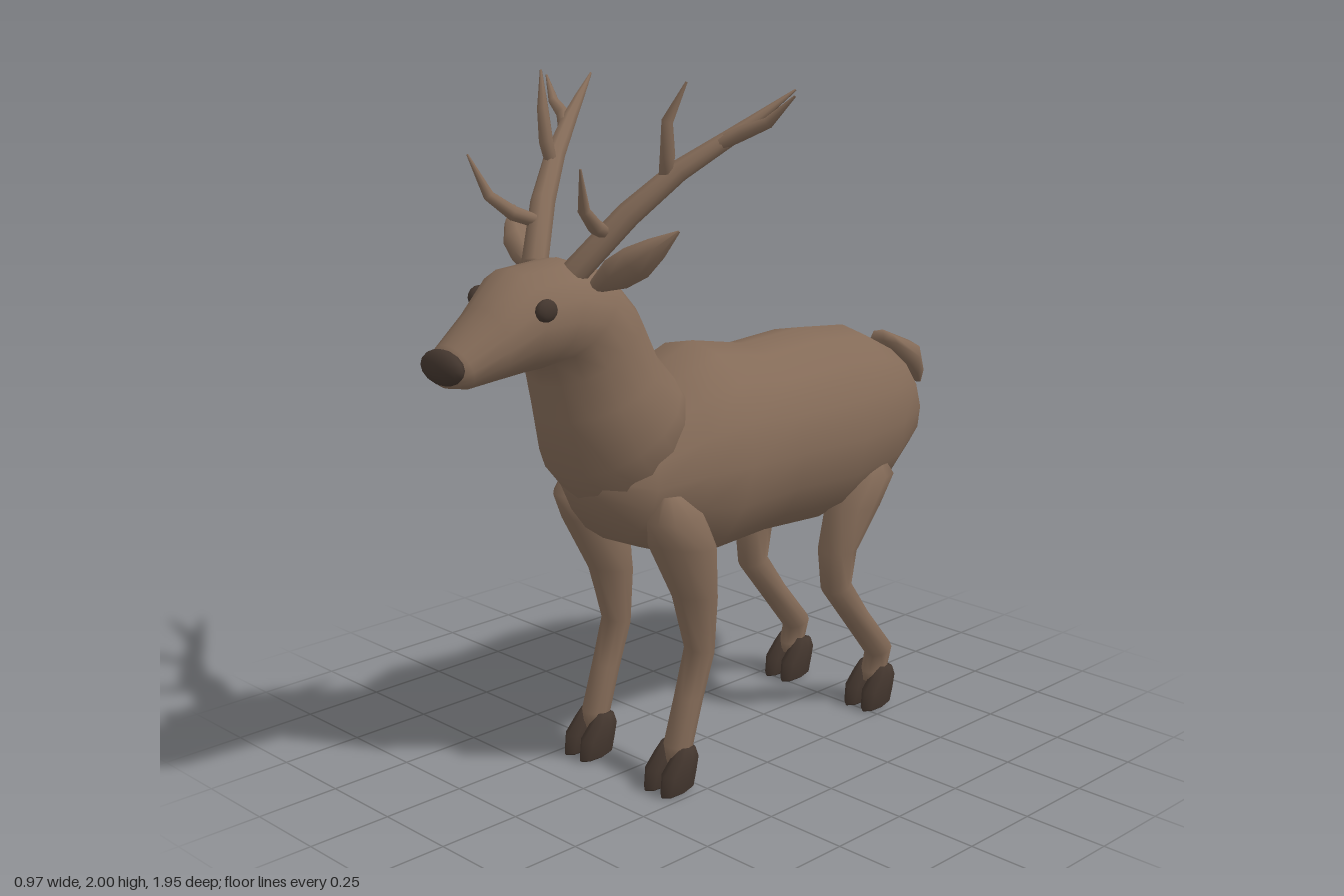
import * as THREE from 'three';

const coat = new THREE.MeshStandardMaterial({ color: 0x846b58 });
coat.name = 'brown coat';
const dark = new THREE.MeshStandardMaterial({ color: 0x43362e });
dark.name = 'dark horn';

// Closed skin over rings; each ring is { c: centre, u: half width, v: half height }
function skin(name, rings, material, sides = 12) {
  const pos = [], idx = [];
  for (const { c, u, v } of rings) {
    for (let i = 0; i < sides; i++) {
      const a = (i / sides) * Math.PI * 2;
      const p = c.clone().addScaledVector(u, Math.cos(a)).addScaledVector(v, Math.sin(a));
      pos.push(p.x, p.y, p.z);
    }
  }
  const last = rings.length - 1;
  for (let r = 0; r < last; r++) {
    for (let i = 0; i < sides; i++) {
      const a = r * sides + i, b = r * sides + (i + 1) % sides;
      idx.push(a, b, a + sides, b, b + sides, a + sides);
    }
  }
  const first = rings[0].c, end = rings[last].c, n = pos.length / 3;
  pos.push(first.x, first.y, first.z, end.x, end.y, end.z);
  for (let i = 0; i < sides; i++) {
    const j = (i + 1) % sides;
    idx.push(n, j, i, n + 1, last * sides + i, last * sides + j);
  }
  // Turn the faces outwards when the enclosed volume is negative
  const at = (i) => new THREE.Vector3().fromArray(pos, i * 3);
  let volume = 0;
  for (let i = 0; i < idx.length; i += 3) {
    volume += at(idx[i]).dot(at(idx[i + 1]).cross(at(idx[i + 2])));
  }
  if (volume < 0) idx.reverse();
  const geo = new THREE.BufferGeometry();
  geo.setAttribute('position', new THREE.Float32BufferAttribute(pos, 3));
  geo.setIndex(idx);
  geo.computeVertexNormals();
  const mesh = new THREE.Mesh(geo, material);
  mesh.name = name;
  return mesh;
}

// Section rows: [z, y of one edge, z, y of the opposite edge, half width, centre x]
function profile(name, rows, material, sides, x = 0, s = 1) {
  return skin(name, rows.map(([z1, y1, z2, y2, w, dx = 0]) => ({
    c: new THREE.Vector3(s * (x + dx), (y1 + y2) / 2, (z1 + z2) / 2),
    u: new THREE.Vector3(w, 0, 0),
    v: new THREE.Vector3(0, (y1 - y2) / 2, (z1 - z2) / 2),
  })), material, sides);
}

// Limb rows: [x, y, z, radius]; flat squeezes the section front to back
function limb(name, rows, s, sides = 8, flat = 1) {
  const pts = rows.map(([x, y, z]) => new THREE.Vector3(s * x, y, z));
  return skin(name, rows.map((row, i) => {
    const t = pts[Math.min(i + 1, pts.length - 1)].clone().sub(pts[Math.max(i - 1, 0)]).normalize();
    const u = new THREE.Vector3(-s * 0.6, 0.6, -0.3).cross(t).normalize();
    const v = t.clone().cross(u).normalize();
    return { c: pts[i], u: u.multiplyScalar(row[3]), v: v.multiplyScalar(row[3] * flat) };
  }), coat, sides);
}

function ball(name, x, y, z, rx, ry, rz) {
  const mesh = new THREE.Mesh(new THREE.SphereGeometry(1, 12, 8), dark);
  mesh.scale.set(rx, ry, rz);
  mesh.position.set(x, y, z);
  mesh.name = name;
  return mesh;
}

export function createModel() {
  const model = new THREE.Group();
  model.name = 'stag';

  model.add(profile('body', [
    [-0.875, 0.92, -0.875, 0.88, 0.02],
    [-0.85, 1.02, -0.845, 0.81, 0.1],
    [-0.75, 1.11, -0.78, 0.75, 0.175],
    [-0.59, 1.19, -0.61, 0.655, 0.25],
    [-0.4, 1.21, -0.37, 0.62, 0.28],
    [-0.15, 1.2, -0.14, 0.63, 0.255],
    [0.06, 1.24, 0.14, 0.62, 0.285],
    [0.2, 1.19, 0.27, 0.67, 0.265],
    [0.36, 1.08, 0.41, 0.73, 0.2],
    [0.48, 1.0, 0.5, 0.86, 0.1],
  ], coat, 16));

  model.add(profile('neckAndHead', [
    [0.1, 1.1, 0.4, 0.74, 0.17],
    [0.2, 1.18, 0.56, 0.94, 0.215],
    [0.26, 1.25, 0.6, 1.1, 0.185],
    [0.33, 1.39, 0.62, 1.2, 0.175],
    [0.42, 1.49, 0.64, 1.265, 0.168],
    [0.56, 1.54, 0.68, 1.258, 0.165],
    [0.72, 1.53, 0.73, 1.255, 0.148],
    [0.82, 1.44, 0.81, 1.248, 0.115],
    [0.93, 1.36, 0.89, 1.24, 0.082],
    [0.955, 1.33, 0.94, 1.25, 0.06],
  ], coat, 16));

  model.add(ball('nose', 0, 1.305, 0.945, 0.082, 0.047, 0.032));

  model.add(profile('tail', [
    [-0.785, 1.145, -0.8, 1.07, 0.055],
    [-0.92, 1.09, -0.865, 1.01, 0.07],
    [-0.95, 1.02, -0.92, 0.975, 0.05],
    [-0.975, 0.95, -0.965, 0.945, 0.012],
  ], coat, 8));

  for (const s of [1, -1]) {
    const side = s > 0 ? 'left' : 'right';

    // Legs
    model.add(profile(side + 'FrontLeg', [
      [0.37, 0.88, 0.31, 0.88, 0.025, 0.025],
      [0.41, 0.81, 0.23, 0.82, 0.07, 0.02],
      [0.39, 0.74, 0.165, 0.7, 0.085, 0.005],
      [0.3, 0.57, 0.153, 0.55, 0.062],
      [0.25, 0.4, 0.165, 0.38, 0.045],
      [0.29, 0.27, 0.21, 0.25, 0.042],
      [0.335, 0.13, 0.25, 0.12, 0.042],
      [0.33, 0.08, 0.27, 0.08, 0.035],
    ], coat, 10, 0.175, s));
    model.add(profile(side + 'BackLeg', [
      [-0.47, 0.82, -0.56, 0.82, 0.025, 0.02],
      [-0.42, 0.77, -0.59, 0.77, 0.07, 0.015],
      [-0.36, 0.69, -0.53, 0.68, 0.08, 0.005],
      [-0.325, 0.55, -0.44, 0.55, 0.06],
      [-0.335, 0.42, -0.425, 0.45, 0.048],
      [-0.44, 0.29, -0.52, 0.32, 0.042],
      [-0.545, 0.16, -0.63, 0.19, 0.042],
      [-0.53, 0.11, -0.61, 0.12, 0.04],
      [-0.53, 0.08, -0.59, 0.08, 0.035],
    ], coat, 10, 0.175, s));

    // Cloven hooves
    for (const [label, dz] of [['Front', 0], ['Back', -0.87]]) {
      for (const toe of [-0.034, 0.034]) {
        model.add(profile(side + label + 'Hoof', [
          [0.315 + dz, 0.13, 0.26 + dz, 0.125, 0.022],
          [0.34 + dz, 0.1, 0.252 + dz, 0.1, 0.034],
          [0.38 + dz, 0.06, 0.258 + dz, 0.06, 0.037],
          [0.39 + dz, 0.005, 0.265 + dz, 0.015, 0.031],
          [0.385 + dz, 0, 0.27 + dz, 0.01, 0.026],
        ], dark, 8, 0.172 + toe, s));
      }
    }

    model.add(ball(side + 'Eye', s * 0.137, 1.437, 0.715, 0.02, 0.031, 0.034));

    model.add(limb(side + 'Ear', [
      [0.12, 1.475, 0.53, 0.025],
      [0.175, 1.51, 0.51, 0.055],
      [0.23, 1.545, 0.49, 0.058],
      [0.28, 1.585, 0.465, 0.038],
      [0.328, 1.63, 0.43, 0.004],
    ], s, 8, 0.7));

    // Antler: main beam and three tines
    const antler = new THREE.Group();
    antler.name = side + 'Antler';
    antler.add(
      limb('beam', [
        [0.08, 1.51, 0.57, 0.036], [0.17, 1.66, 0.46, 0.034], [0.245, 1.77, 0.35, 0.029],
        [0.32, 1.855, 0.23, 0.022], [0.36, 1.91, 0.155, 0.014], [0.4, 1.97, 0.075, 0.003],
      ], s),
      limb('outerTine', [
        [0.295, 1.83, 0.27, 0.018], [0.35, 1.865, 0.225, 0.02],
        [0.42, 1.895, 0.2, 0.015], [0.485, 1.965, 0.17, 0.003],
      ], s),
      limb('upperTine', [
        [0.225, 1.75, 0.38, 0.018], [0.24, 1.81, 0.385, 0.021],
        [0.245, 1.9, 0.39, 0.016], [0.285, 2.0, 0.36, 0.003],
      ], s),
      limb('browTine', [
        [0.13, 1.61, 0.5, 0.018], [0.165, 1.64, 0.57, 0.021],
        [0.19, 1.69, 0.63, 0.016], [0.225, 1.8, 0.67, 0.003],
      ], s),
    );
    model.add(antler);
  }
  return model;
}
